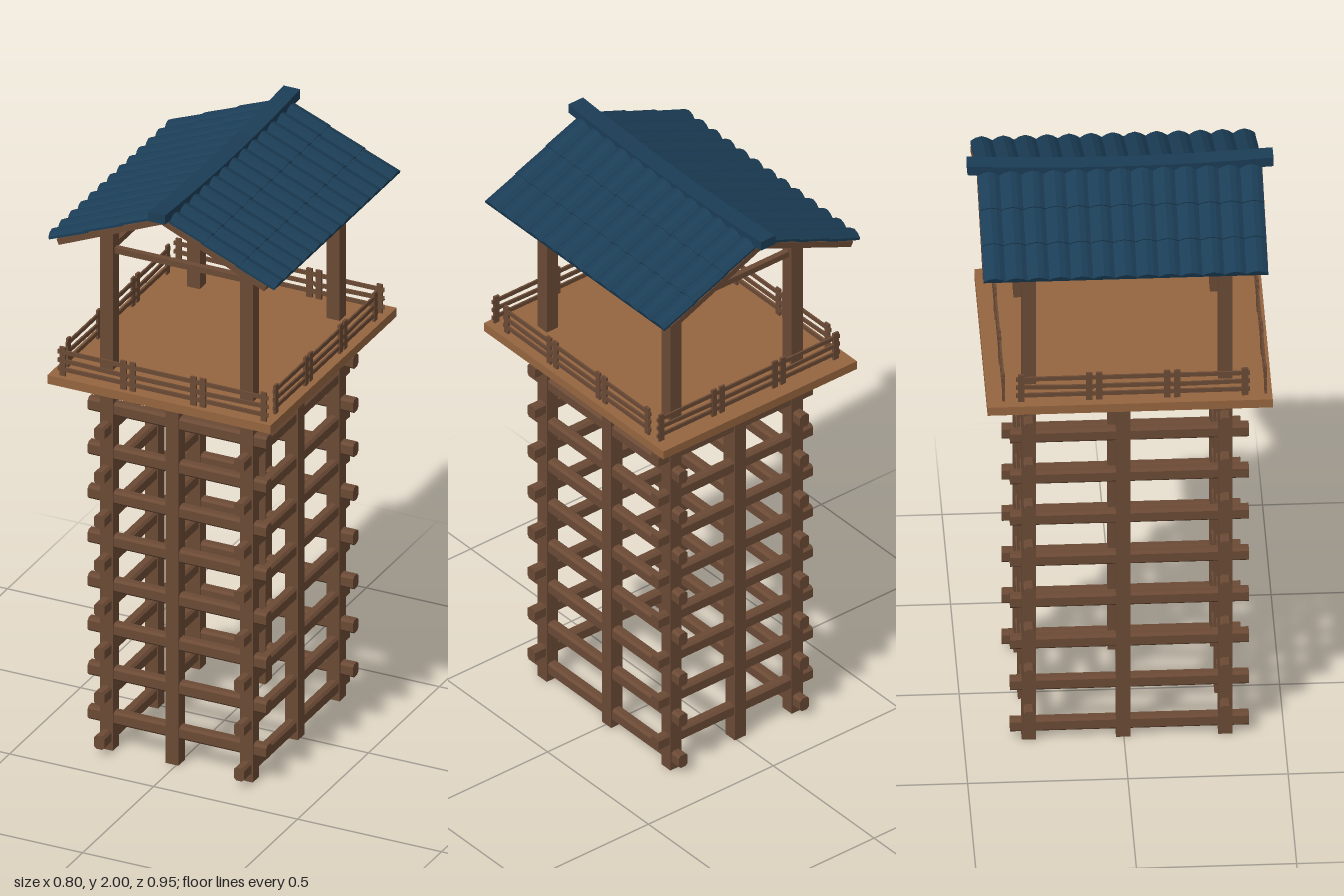
import * as THREE from 'three';

const mat = (color) => new THREE.MeshStandardMaterial({ color, flatShading: true });
const WOOD = mat(0x6b4a35), PLANK = mat(0x95653f), TILE = mat(0x1b3d56);

function add(parent, name, geometry, material, x = 0, y = 0, z = 0) {
  const mesh = new THREE.Mesh(geometry, material);
  mesh.name = name;
  mesh.position.set(x, y, z);
  parent.add(mesh);
  return mesh;
}

const box = (w, h, d) => new THREE.BoxGeometry(w, h, d);

// Chamfered timber lying along z
function timber(length, w = 0.036, h = 0.046, c = 0.008) {
  const a = w / 2, b = h / 2;
  const pts = [[-a + c, -b], [a - c, -b], [a, -b + c], [a, b - c],
    [a - c, b], [-a + c, b], [-a, b - c], [-a, -b + c]];
  const shape = new THREE.Shape(pts.map(([x, y]) => new THREE.Vector2(x, y)));
  return new THREE.ExtrudeGeometry(shape, { depth: length, bevelEnabled: false })
    .translate(0, 0, -length / 2);
}

const PX = 0.243, ZF = 0.317, ZB = -0.296, ZC = 0.01;

function buildTower() {
  const g = new THREE.Group();
  g.name = 'tower';
  // Corner posts run up to the roof
  for (const x of [-PX, PX]) {
    for (const z of [ZF, ZB]) add(g, 'cornerPost', box(0.045, 1.845, 0.045), WOOD, x, 0.9225, z);
    add(g, 'sideMiddlePost', box(0.045, 1.31, 0.045), WOOD, x, 0.655, -0.002);
  }
  for (const z of [ZF, ZB]) add(g, 'middlePost', box(0.045, 1.31, 0.045), WOOD, -0.015, 0.655, z);
  // Alternating courses of cross beams
  const across = timber(0.62).rotateY(Math.PI / 2), along = timber(0.745);
  for (let i = 0; i < 9; i++) {
    const y = 0.047 + i * 0.1547;
    for (const x of [-PX, PX]) add(g, 'sideBeam', along, WOOD, x, y, 0.018);
    if (i < 8) for (const z of [ZF, ZB]) add(g, 'crossBeam', across, WOOD, 0, y + 0.064, z);
  }
  // Thin ties under the roof
  for (const z of [ZF, ZB]) add(g, 'upperCrossTie', box(0.45, 0.02, 0.02), WOOD, 0, 1.75, z);
  for (const x of [-PX, PX]) add(g, 'upperSideTie', box(0.02, 0.02, 0.59), WOOD, x, 1.75, ZC);
  return g;
}

// One side of the railing: three short fence panels along local x
function buildRailing(length) {
  const g = new THREE.Group();
  g.name = 'railing';
  const panel = length / 3;
  for (let i = -1; i <= 1; i++) {
    for (const y of [0.022, 0.05, 0.082]) {
      const rail = add(g, 'rail', box(panel, 0.014, 0.006), WOOD, i * panel, y, 0);
      if (y === 0.05) rail.rotation.z = 0.02 * i;
    }
    for (const s of [-1, 1]) {
      add(g, 'railPost', box(0.02, 0.1, 0.008), WOOD, i * panel + s * (panel / 2 - 0.016), 0.05, 0);
    }
  }
  return g;
}

function buildPlatform() {
  const g = new THREE.Group();
  g.name = 'platform';
  add(g, 'deck', box(0.775, 0.03, 0.89), PLANK, -0.002, 1.32, 0.013);
  for (const z of [0.438, -0.38]) {
    const r = buildRailing(0.73);
    r.position.set(0.003, 1.335, z);
    g.add(r);
  }
  for (const x of [-0.358, 0.362]) {
    const r = buildRailing(0.73);
    r.rotation.y = Math.PI / 2;
    r.position.set(x, 1.335, 0.024);
    g.add(r);
  }
  return g;
}

// One arched tile running along +x
function tileGeometry(width, length) {
  const w = width / 2;
  const pts = [[-w, -0.004], [w, -0.004], [w, 0.004], [w * 0.55, 0.013], [0, 0.018], [-w * 0.55, 0.013], [-w, 0.004]];
  const shape = new THREE.Shape(pts.map(([x, y]) => new THREE.Vector2(x, y)));
  return new THREE.ExtrudeGeometry(shape, { depth: length, bevelEnabled: false }).rotateY(Math.PI / 2);
}

function buildRoof() {
  const g = new THREE.Group();
  g.name = 'roof';
  const columns = 13, rows = 3, pitch = 0.0683, step = 0.132;
  const tile = tileGeometry(pitch, step + 0.012);
  for (const turn of [0, Math.PI]) {
    const side = new THREE.Group();
    side.name = 'roofSide';
    side.rotation.y = turn;
    const slope = new THREE.Group();
    slope.name = 'slope';
    slope.position.y = 1.97;
    slope.rotation.z = -0.405;
    add(slope, 'roofBoard', box(0.398, 0.02, 0.89), WOOD, 0.198, -0.012, 0);
    for (let r = 0; r < rows; r++) {
      for (let c = 0; c < columns; c++) {
        const t = add(slope, 'roofTile', tile, TILE, 0.016 + r * step, 0.001, (c - (columns - 1) / 2) * pitch);
        t.rotation.z = 0.03; // lower end lifts over the next row
      }
    }
    side.add(slope);
    g.add(side);
  }
  // Ridge cap sags slightly in the middle
  const cap = new THREE.BoxGeometry(0.058, 0.032, 0.955, 1, 1, 12);
  const p = cap.attributes.position;
  for (let i = 0; i < p.count; i++) p.setY(i, p.getY(i) + 0.016 * (p.getZ(i) / 0.4775) ** 2);
  cap.computeVertexNormals();
  add(g, 'ridgeCap', cap, TILE, 0, 1.968, 0.002);
  return g;
}

export function createModel() {
  const model = new THREE.Group();
  model.name = 'watchtower';
  model.add(buildTower(), buildPlatform(), buildRoof());
  return model;
}
